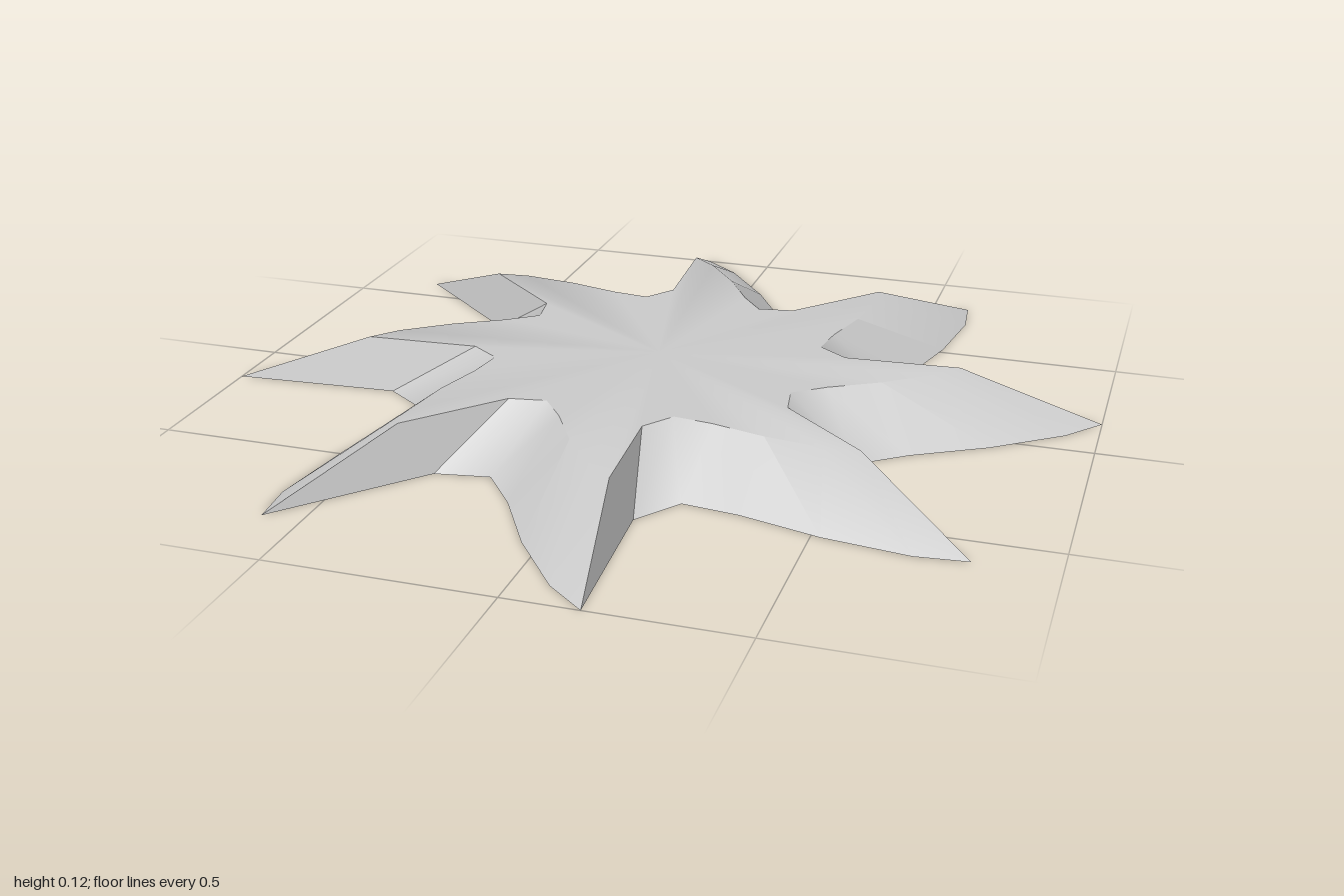
import * as THREE from 'three';
import { toCreasedNormals } from 'three/addons/utils/BufferGeometryUtils.js';

const ARMS = 8, HEIGHT = 0.12, TOP_SCALE = 0.68;

// Outline of one hooked arm in plan (x, z), from its tip to just before the next tip
const ARM = [
  [0.165, 1.0], [0.14, 0.615], [0.212, 0.514],
  [0.34, 0.53], [0.52, 0.577], [0.71, 0.602],
];

// Repeat the arm around the centre
function starOutline() {
  const points = [];
  for (let i = 0; i < ARMS; i++) {
    const a = -i * 2 * Math.PI / ARMS, c = Math.cos(a), s = Math.sin(a);
    for (const [x, z] of ARM) points.push([x * c - z * s, x * s + z * c]);
  }
  return points;
}

// Frustum between the outline on the ground and its scaled copy on top
function starGeometry() {
  const outline = starOutline(), positions = [];
  const base = ([x, z]) => [x, 0, z];
  const top = ([x, z]) => [x * TOP_SCALE, HEIGHT, z * TOP_SCALE];
  const tri = (...corners) => corners.forEach((p) => positions.push(...p));
  outline.forEach((p, i) => {
    const q = outline[(i + 1) % outline.length];
    tri([0, HEIGHT, 0], top(p), top(q)); // top face
    tri(base(p), base(q), top(q)); // sloped side
    tri(base(p), top(q), top(p));
    tri([0, 0, 0], base(q), base(p)); // underside
  });
  const geometry = new THREE.BufferGeometry();
  geometry.setAttribute('position', new THREE.Float32BufferAttribute(positions, 3));
  return toCreasedNormals(geometry, THREE.MathUtils.degToRad(37.2));
}

export function createModel() {
  const group = new THREE.Group();
  group.name = 'throwingStar';
  const star = new THREE.Mesh(starGeometry(), new THREE.MeshStandardMaterial({ color: 0xcccccc }));
  star.name = 'starBlade';
  group.add(star);
  return group;
}
